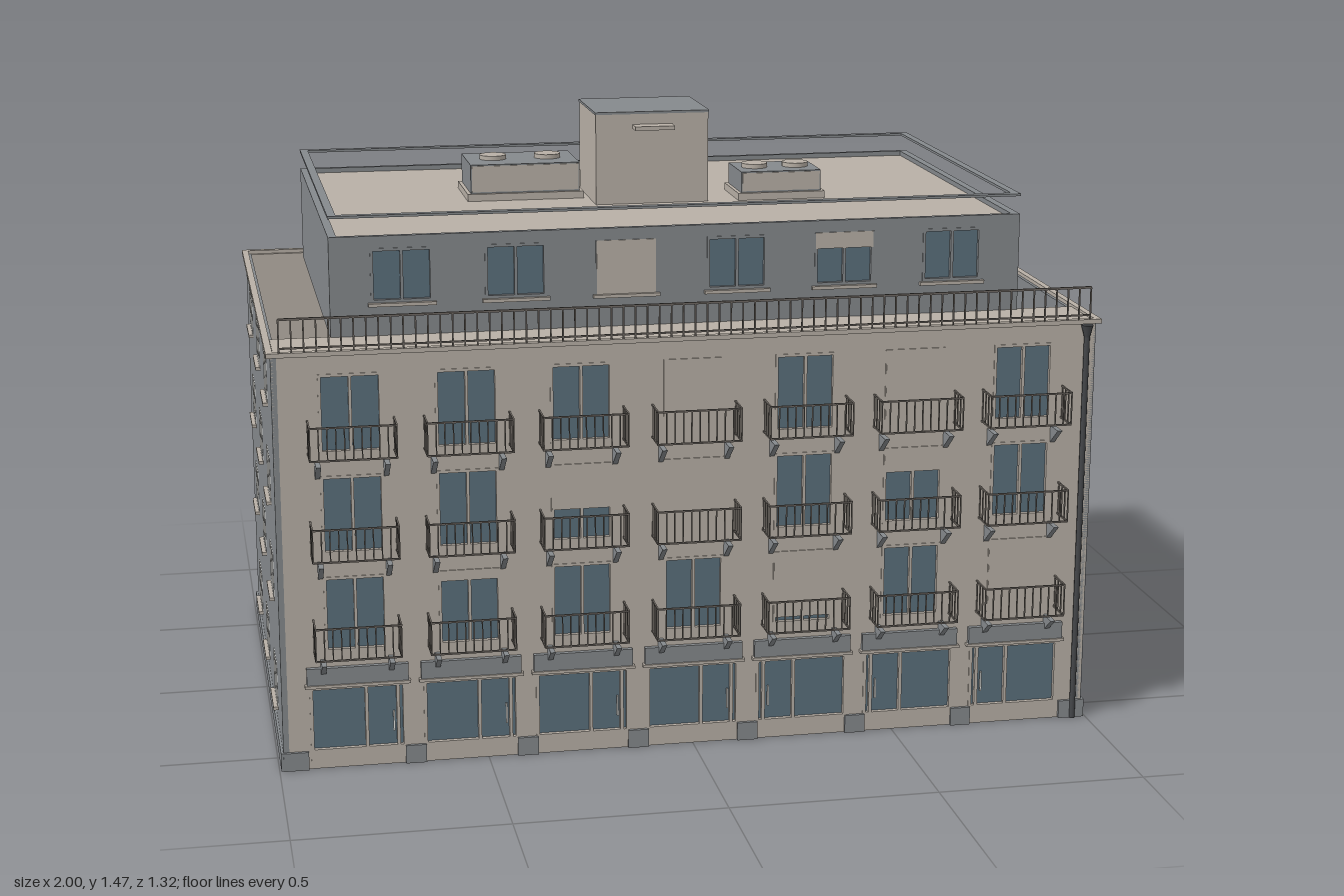
import * as THREE from 'three';
import { mergeGeometries } from 'three/addons/utils/BufferGeometryUtils.js';

const mat = (name, color, side = THREE.FrontSide) => {
  const m = new THREE.MeshStandardMaterial({ color, side });
  m.name = name;
  return m;
};

export function createModel() {
  const M = {
    beige: mat('beige plaster', 0xb8b0a6),
    grey: mat('grey plaster', 0x85898c),
    glass: mat('window glass', 0x5a6f7c, THREE.DoubleSide),
    white: mat('white frame', 0xe6e6e2),
    rail: mat('railing metal', 0x6e6862),
    dark: mat('dark metal', 0x45474a),
  };
  const root = new THREE.Group();
  root.name = 'apartmentBuilding';

  const boxGeo = (w, h, d, x, y, z) => new THREE.BoxGeometry(w, h, d).translate(x, y, z);
  const add = (parent, name, geo, material) => {
    const m = new THREE.Mesh(geo, material);
    m.name = name;
    parent.add(m);
    return m;
  };
  const box = (parent, name, material, ...dims) => add(parent, name, boxGeo(...dims), material);
  const group = (name, parent = root) => {
    const g = new THREE.Group();
    g.name = name;
    parent.add(g);
    return g;
  };
  const rectPath = (path, x0, y0, x1, y1) =>
    path.moveTo(x0, y0).lineTo(x1, y0).lineTo(x1, y1).lineTo(x0, y1).closePath();

  // Thin facade facing local +z with its outer face at z = 0; holes are {x, y0, y1, w}
  const T = 0.014;
  const wall = (parent, material, halfW, y0, y1, holes) => {
    const s = new THREE.Shape();
    rectPath(s, -halfW, y0, halfW, y1);
    for (const h of holes) {
      const p = new THREE.Path();
      rectPath(p, h.x - h.w / 2, h.y0, h.x + h.w / 2, h.y1);
      s.holes.push(p);
    }
    const geo = new THREE.ExtrudeGeometry(s, { depth: T, bevelEnabled: false });
    add(parent, 'wall', geo.translate(0, 0, -T), material);
  };
  // Border frame with optional mullions at given offsets from the centre
  const frameGeo = (h, t, d, z, mullions = [0]) => {
    const { x, y0, y1, w } = h, ym = (y0 + y1) / 2;
    const parts = [
      boxGeo(w, t, d, x, y0 + t / 2, z), boxGeo(w, t, d, x, y1 - t / 2, z),
      boxGeo(t, y1 - y0, d, x - w / 2 + t / 2, ym, z), boxGeo(t, y1 - y0, d, x + w / 2 - t / 2, ym, z),
    ];
    for (const m of mullions) parts.push(boxGeo(t, y1 - y0, d, x + m, ym, z));
    return mergeGeometries(parts);
  };
  // Glazed opening; shutter is the lowered fraction of a roller blind
  const windowUnit = (parent, h, frameMat, shutter = 0, sill = true) => {
    const g = group('window', parent), { x, y0, y1, w } = h, H = y1 - y0;
    add(g, 'glass', new THREE.PlaneGeometry(w, H).translate(x, (y0 + y1) / 2, -0.009), M.glass);
    add(g, 'frame', frameGeo(h, 0.007, 0.012, -0.004), frameMat);
    if (shutter) box(g, 'shutter', M.beige, w - 0.004, H * shutter, 0.005, x, y1 - H * shutter / 2, 0.0005);
    if (sill) box(g, 'sill', M.beige, w + 0.014, 0.008, 0.016, x, y0 - 0.004, 0.004);
  };

  // Back and side facades
  const rows = [0.093, 0.372, 0.612, 0.855];
  const plainFacade = (name, material, halfW, cols, rot, x, z) => {
    const g = group(name);
    g.position.set(x, 0, z);
    g.rotation.y = rot;
    const holes = cols.flatMap(c => rows.map(y => ({ x: c, y0: y, y1: y + 0.107, w: 0.125 })));
    wall(g, material, halfW, 0, 1.01, holes);
    holes.forEach(h => windowUnit(g, h, M.white));
    box(g, 'plinth', M.grey, halfW * 2 + 0.01, 0.045, 0.006, 0, 0.0225, 0.003);
  };
  const zMid = -0.0325, halfD = 0.6175, sideCols = [0.333, -0.035, -0.4];
  plainFacade('backFacade', M.beige, 0.988, [-0.7, -0.235, 0.235, 0.7], Math.PI, 0, -0.65);
  plainFacade('leftFacade', M.grey, halfD, sideCols.map(z => -(z - zMid)), Math.PI / 2, 0.99, zMid);
  plainFacade('rightFacade', M.grey, halfD, sideCols.map(z => z - zMid), -Math.PI / 2, -0.99, zMid);

  // Front facade with shops and french windows
  const front = group('frontFacade');
  front.position.z = 0.585;
  const bays = [-3, -2, -1, 0, 1, 2, 3].map(i => i * 0.27);
  const floors = [
    { y0: 0.29, y1: 0.475, blinds: [0, 0.14, 0, 0, 0.9, 0, 1] },
    { y0: 0.53, y1: 0.72, blinds: [0, 0, 0.58, 1, 0, 0.32, 0] },
    { y0: 0.773, y1: 0.963, blinds: [0, 0, 0, 1, 0, 1, 0] },
  ];
  const shops = bays.map(x => ({ x, y0: 0.02, y1: 0.205, w: 0.228 }));
  const french = floors.flatMap(f => bays.map((x, i) => ({ x, y0: f.y0, y1: f.y1, w: 0.147, blind: f.blinds[i] })));
  wall(front, M.beige, 0.988, 0, 1.01, [...shops, ...french]);
  french.forEach(h => windowUnit(front, h, M.beige, h.blind, false));
  shops.forEach((h, i) => {
    const g = group('shop', front), s = i > 3 ? -1 : 1;
    add(g, 'glass', new THREE.PlaneGeometry(h.w, 0.185).translate(h.x, 0.1125, -0.009), M.glass);
    add(g, 'frame', frameGeo(h, 0.008, 0.012, -0.004, [s * 0.02, s * 0.095]), M.beige);
    box(g, 'stallRiser', M.beige, h.w, 0.028, 0.012, h.x, 0.034, -0.004);
    box(g, 'doorHandle', M.white, 0.004, 0.05, 0.006, h.x + s * 0.084, 0.11, 0.003);
    box(g, 'signBoard', M.grey, 0.24, 0.042, 0.012, h.x, 0.233, 0.006);
    box(g, 'signLedge', M.beige, 0.25, 0.007, 0.016, h.x, 0.209, 0.008);
  });
  for (let i = 0; i < 6; i++) box(front, 'pierBase', M.grey, 0.05, 0.045, 0.008, (i - 2.5) * 0.27, 0.0225, 0.004);
  for (const s of [-1, 1]) box(front, 'cornerBase', M.grey, 0.06, 0.045, 0.008, s * 0.96, 0.0225, 0.004);

  // Open balcony railing and its pair of wedge brackets, shared by all balconies
  const bw = 0.1, bd = 0.073, t = 0.004, railParts = [];
  for (const y of [0.002, 0.08]) {
    railParts.push(boxGeo(2 * bw, t, t, 0, y, bd));
    for (const s of [-1, 1]) railParts.push(boxGeo(t, t, bd, s * bw, y, bd / 2));
  }
  for (let i = 0; i <= 10; i++) railParts.push(boxGeo(0.003, 0.08, 0.003, -bw + i * 0.02, 0.041, bd));
  for (const s of [-1, 1]) for (let i = 0; i < 3; i++) railParts.push(boxGeo(0.003, 0.08, 0.003, s * bw, 0.041, 0.006 + i * 0.022));
  const balconyGeo = mergeGeometries(railParts);
  const wedge = new THREE.Shape();
  wedge.moveTo(0, 0).lineTo(0, -0.042).lineTo(-0.055, 0).closePath();
  const wedgeGeo = new THREE.ExtrudeGeometry(wedge, { depth: 0.012, bevelEnabled: false })
    .translate(0, 0, -0.006).rotateY(Math.PI / 2);
  const bracketGeo = mergeGeometries([-0.08, 0.08].map(x => wedgeGeo.clone().translate(x, -0.018, 0)));
  for (const f of floors) for (const x of bays) {
    const g = group('balcony', front);
    g.position.set(x, f.y0 + 0.001, 0);
    add(g, 'railing', balconyGeo, M.rail);
    add(g, 'brackets', bracketGeo, M.grey);
  }

  // Flat rectangular ring, used for the cornice and roof rail
  const ring = (name, material, x, z0, z1, width, y, h) => {
    const s = new THREE.Shape(), p = new THREE.Path();
    rectPath(s, -x, -z1, x, -z0);
    rectPath(p, -x + width, -z1 + width, x - width, -z0 - width);
    s.holes.push(p);
    const geo = new THREE.ExtrudeGeometry(s, { depth: h, bevelEnabled: false });
    add(root, name, geo.rotateX(-Math.PI / 2).translate(0, y, 0), material);
  };
  ring('cornice', M.beige, 1, -0.66, 0.598, 0.016, 1.008, 0.011);

  // Front terrace and its railing
  box(root, 'terrace', M.beige, 1.965, 0.012, 0.15, 0, 1.008, 0.5);
  const bars = [boxGeo(1.94, 0.005, 0.005, 0, 1.098, 0.597), boxGeo(1.94, 0.004, 0.004, 0, 1.03, 0.597)];
  for (let i = 0; i <= 68; i++) bars.push(boxGeo(0.0035, 0.08, 0.0035, -0.97 + i * 1.94 / 68, 1.058, 0.597));
  add(root, 'terraceRailing', mergeGeometries(bars), M.rail);

  // Downpipe with hopper
  add(root, 'downpipe', new THREE.CylinderGeometry(0.007, 0.007, 0.98, 10).translate(0.965, 0.49, 0.594), M.dark);
  add(root, 'hopper', new THREE.CylinderGeometry(0.015, 0.007, 0.03, 10).translate(0.965, 0.99, 0.594), M.dark);

  // Set-back penthouse
  const pent = group('penthouse'), pz0 = -0.578, pz1 = 0.433;
  const pentX = [-0.67, -0.4, -0.135, 0.135, 0.4, 0.67];
  [['front', pz1, 0, [0, 0, 1, 0, 0.3, 0]], ['back', pz0, Math.PI, [0, 0.3, 0, 0, 0, 0]]].forEach(([n, z, rot, blinds]) => {
    const g = group(n + 'Wall', pent);
    g.position.z = z;
    g.rotation.y = rot;
    const holes = pentX.map(x => ({ x, y0: 1.093, y1: 1.223, w: 0.147 }));
    wall(g, M.grey, 0.84, 1.01, 1.252, holes);
    holes.forEach((h, i) => windowUnit(g, h, M.grey, blinds[i]));
  });
  const pd = pz1 - pz0, pc = (pz0 + pz1) / 2;
  for (const s of [-1, 1]) box(pent, 'sideWall', M.grey, 0.02, 0.242, pd - 0.002, s * 0.83, 1.131, pc);
  box(pent, 'roof', M.beige, 1.65, 0.01, pd - 0.03, 0, 1.235, pc);
  ring('roofRail', M.grey, 0.84, -0.578, 0.435, 0.02, 1.296, 0.006);

  // Lift housing
  const lift = group('liftHousing');
  box(lift, 'walls', M.beige, 0.286, 0.228, 0.252, 0, 1.352, -0.073);
  box(lift, 'cap', M.grey, 0.29, 0.006, 0.256, 0, 1.469, -0.073);
  box(lift, 'canopy', M.beige, 0.1, 0.01, 0.042, 0, 1.435, 0.074);

  // Rooftop ventilation units
  const ventUnit = (x, z, w, d, top, fanGap, fr) => {
    const g = group('ventilationUnit');
    box(g, 'curb', M.beige, w + 0.018, 0.02, d + 0.018, x, 1.248, z);
    box(g, 'housing', M.grey, w, top - 1.24, d, x, (top + 1.24) / 2, z);
    box(g, 'frontPanel', M.beige, w - 0.006, top - 1.265, 0.004, x, (top + 1.259) / 2, z + d / 2 + 0.001);
    for (const s of [-1, 1])
      add(g, 'fan', new THREE.CylinderGeometry(fr, fr, 0.012, 20).translate(x + s * fanGap, top + 0.005, z), M.beige);
  };
  ventUnit(-0.305, -0.155, 0.278, 0.19, 1.331, 0.07, 0.034);
  ventUnit(0.333, -0.025, 0.206, 0.15, 1.311, 0.053, 0.033);

  return root;
}
